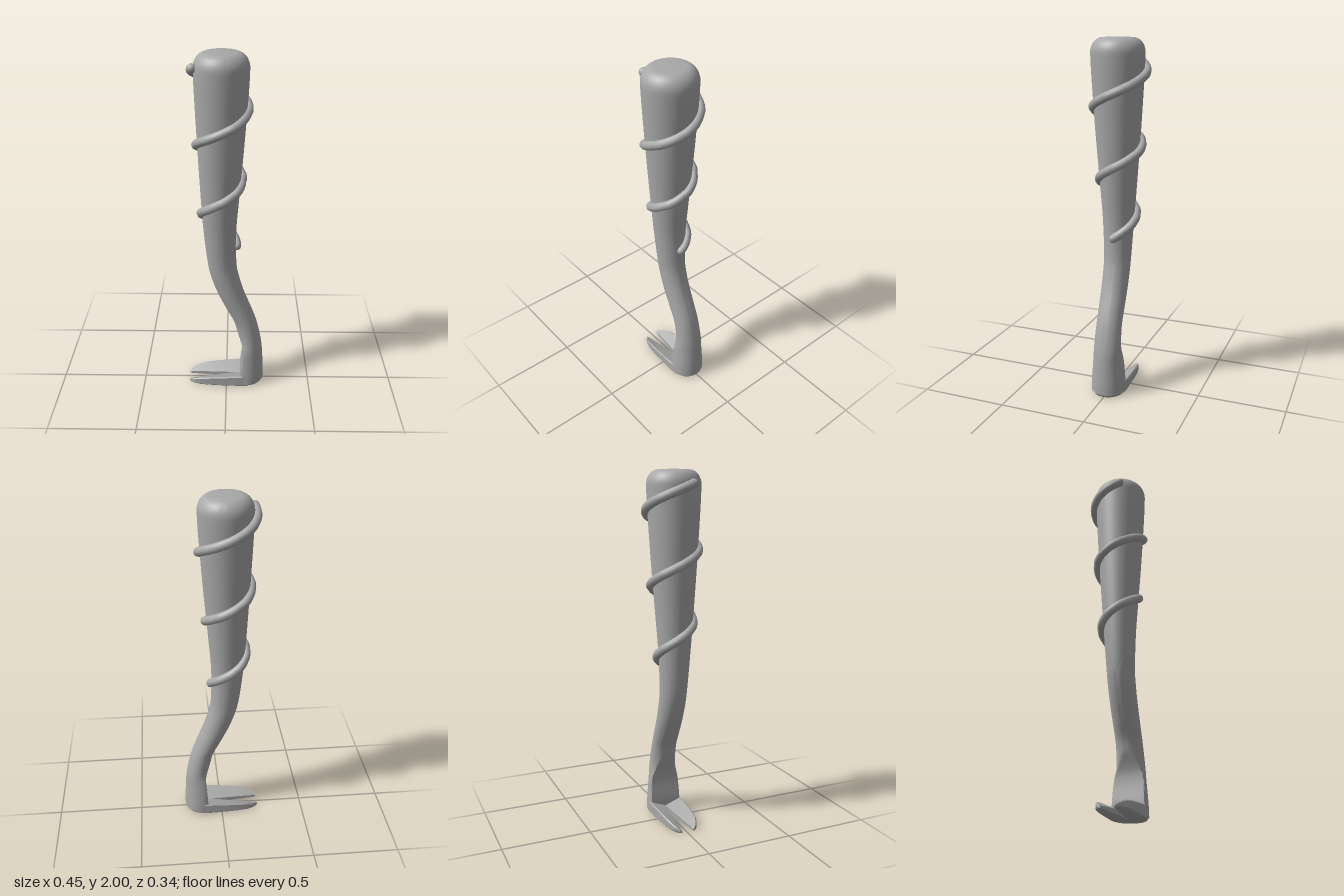
import * as THREE from 'three';
import { toCreasedNormals } from 'three/addons/utils/BufferGeometryUtils.js';

const steel = new THREE.MeshStandardMaterial({ color: 0xa8a8a8 });
steel.name = 'grey steel';

// Skin a list of closed rings, closing both ends on their centres
function loft(rings, crease) {
  const n = rings[0].length;
  const collapse = (ring) => {
    const c = ring.reduce((s, p) => s.add(p), new THREE.Vector3()).divideScalar(n);
    return ring.map(() => c);
  };
  const all = [collapse(rings[0]), ...rings, collapse(rings[rings.length - 1])];
  const index = [];
  for (let i = 0; i < all.length - 1; i++) {
    for (let j = 0; j < n; j++) {
      const a = i * n + j, b = i * n + (j + 1) % n;
      if (i > 0) index.push(a, a + n, b);
      if (i < all.length - 2) index.push(b, a + n, b + n);
    }
  }
  const g = new THREE.BufferGeometry().setFromPoints(all.flat());
  g.setIndex(index);
  return toCreasedNormals(g, crease);
}

function add(parent, geometry, name) {
  const m = new THREE.Mesh(geometry, steel);
  m.name = name;
  parent.add(m);
  return m;
}

// Shaft sections: height, centre x, radius x, radius z, flat front cut at x
const SHAFT = [
  [0.015, 0.121, 0.101, 0.099, 0.085],
  [0.08, 0.121, 0.101, 0.097, 0.085],
  [0.2, 0.123, 0.093, 0.087, 0.098],
  [0.28, 0.137, 0.07, 0.079, 0.09],
  [0.4, 0.115, 0.066, 0.074, 0.04],
  [0.5, 0.073, 0.073, 0.074, -0.01],
  [0.6, 0.029, 0.077, 0.075, -0.06],
  [0.7, -0.005, 0.08, 0.076, -0.1],
  [0.8, -0.025, 0.082, 0.078, -0.13],
  [1.0, -0.037, 0.092, 0.089, -0.14],
  [1.2, -0.036, 0.106, 0.104, -0.16],
  [1.5, -0.031, 0.126, 0.126, -0.18],
  [1.8, -0.027, 0.143, 0.144, -0.2],
  [1.92, -0.026, 0.147, 0.149, -0.22],
];

function shaftSections() {
  const a = new THREE.CatmullRomCurve3(SHAFT.map((s) => new THREE.Vector3(s[1], s[0], s[2])), false, 'catmullrom');
  const b = new THREE.CatmullRomCurve3(SHAFT.map((s) => new THREE.Vector3(s[4], s[0], s[3])), false, 'catmullrom');
  const out = [];
  for (let i = 0; i <= 65; i++) {
    const p = a.getPoint(i / 65), q = b.getPoint(i / 65);
    out.push({ y: p.y, cx: p.x, rx: p.z, rz: q.z, cut: q.x });
  }
  return out;
}

function ring(s) {
  const pts = [];
  for (let j = 0; j < 48; j++) {
    const t = (j / 48) * Math.PI * 2;
    pts.push(new THREE.Vector3(Math.max(s.cut, s.cx + s.rx * Math.cos(t)), s.y, s.rz * Math.sin(t)));
  }
  return pts;
}

export function createModel() {
  const model = new THREE.Group();
  model.name = 'clawBar';

  // Curved shaft with a bevelled heel and a rounded top
  const sections = shaftSections();
  const heel = sections[0], top = sections[sections.length - 1];
  const all = [{ ...heel, y: 0, rx: heel.rx - 0.012, rz: heel.rz - 0.012 }, ...sections];
  for (let k = 1; k <= 8; k++) {
    const t = (k / 8) * Math.PI / 2, inset = 0.068 * (1 - Math.cos(t));
    all.push({ ...top, y: 1.92 + 0.08 * Math.sin(t), rx: top.rx - inset, rz: top.rz - inset });
  }
  add(model, loft(all.map(ring), 0.6), 'shaft').position.z = 0.005;

  // Two claw prongs: x, outer z, inner z, outer height, inner height
  const PRONG = [
    [0.13, 0.097, 0, 0.072, 0.035],
    [0.085, 0.099, 0, 0.07, 0.035],
    [0.05, 0.098, 0.001, 0.067, 0.033],
    [-0.04, 0.094, 0.012, 0.06, 0.027],
    [-0.11, 0.089, 0.021, 0.053, 0.022],
    [-0.16, 0.082, 0.027, 0.045, 0.018],
    [-0.195, 0.07, 0.031, 0.034, 0.015],
    [-0.215, 0.057, 0.033, 0.024, 0.012],
    [-0.225, 0.045, 0.035, 0.015, 0.01],
  ];
  for (const s of [1, -1]) {
    const rings = PRONG.map(([x, zo, zi, ho, hi]) => {
      const r = [[zo - 0.006, ho], [zo, ho - 0.006], [zo, 0.006], [zo - 0.005, 0], [zi, 0], [zi, hi]]
        .map(([z, y]) => new THREE.Vector3(x, y, s * z));
      return s > 0 ? r : r.reverse();
    });
    add(model, loft(rings, 0.6), s > 0 ? 'leftProng' : 'rightProng').position.z = 0.005;
  }

  // Cord winding down the shaft
  const coil = [];
  const start = -0.33, end = 5 * Math.PI;
  for (let i = 0; i <= 90; i++) {
    const t = start + (end - start) * (i / 90);
    const y = 1.905 - 0.4 * t / (Math.PI * 2);
    const s = sections.find((q) => q.y >= y) || top;
    const lift = 0.004 + 0.008 * Math.max(0, 1 - i / 12);
    coil.push(new THREE.Vector3(s.cx - (s.rx + lift) * Math.cos(t), y, -(s.rz + lift) * Math.sin(t)));
  }
  const path = new THREE.CatmullRomCurve3(coil);
  add(model, new THREE.TubeGeometry(path, 240, 0.025, 12), 'coil');
  for (const [p, name] of [[coil[0], 'coilUpperEnd'], [coil[90], 'coilLowerEnd']]) {
    add(model, new THREE.SphereGeometry(0.025, 16, 12), name).position.copy(p);
  }
  return model;
}
